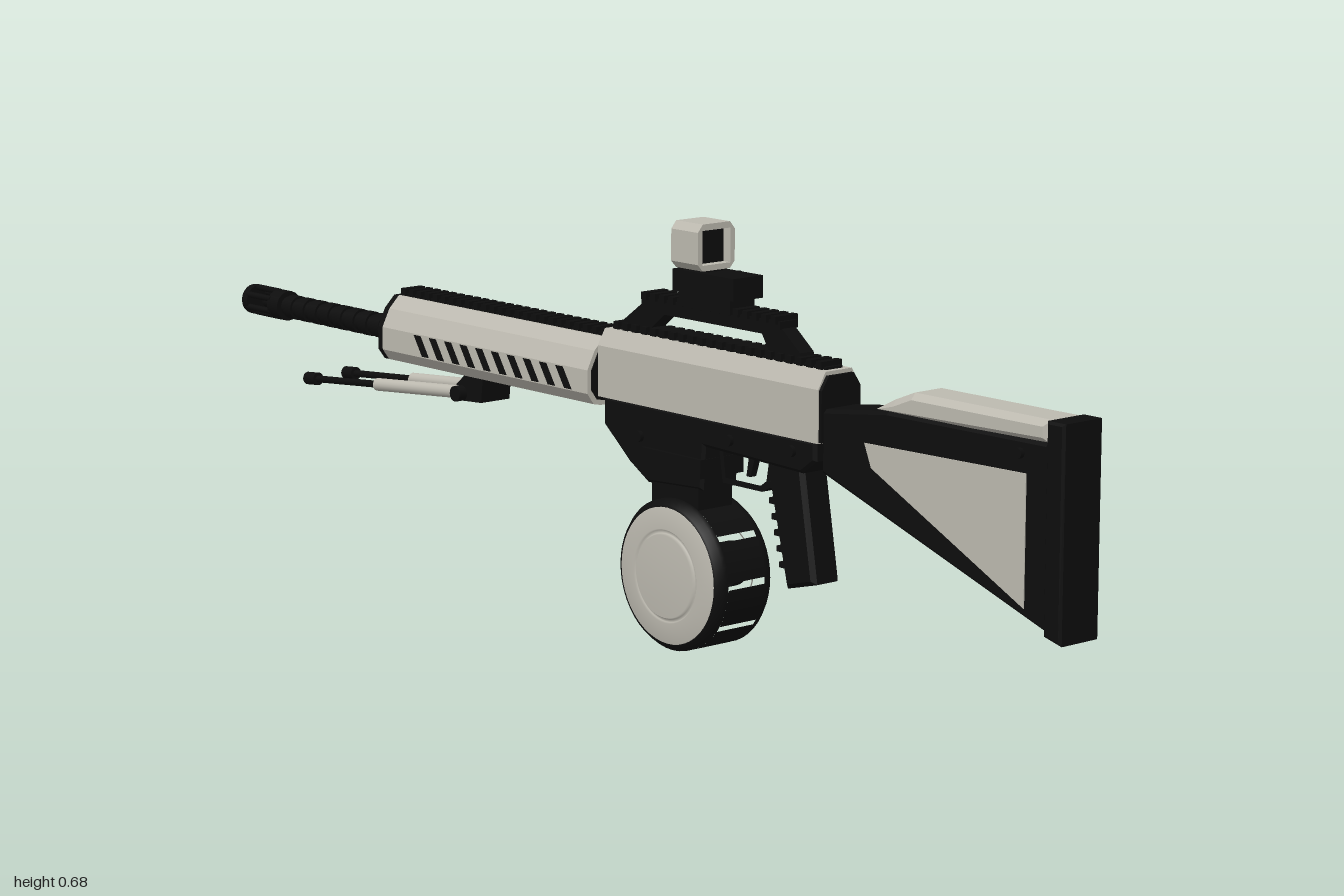
import * as THREE from 'three';

const CX = -0.0155; // centre plane of the body

export function createModel() {
  const root = new THREE.Group();
  const light = new THREE.MeshStandardMaterial({ color: 0xbdbab0 });
  light.name = 'warm grey';
  const black = new THREE.MeshStandardMaterial({ color: 0x0d0d0d });
  black.name = 'black';

  const add = (name, geo, mat, parent = root) => {
    const m = new THREE.Mesh(geo, mat);
    m.name = name;
    parent.add(m);
    return m;
  };
  const group = (name) => {
    const g = new THREE.Group();
    g.name = name;
    root.add(g);
    return g;
  };
  const shapeOf = (pts) => new THREE.Shape(pts.map(([a, b]) => new THREE.Vector2(a, b)));

  // Side profile of [z, y] points, given a width across x
  const side = (name, pts, width, mat, { x = CX, bevel = 0, hole = null, parent = root } = {}) => {
    const s = shapeOf(pts);
    if (hole) s.holes.push(shapeOf(hole));
    const g = new THREE.ExtrudeGeometry(s, {
      depth: width - 2 * bevel, bevelEnabled: bevel > 0, bevelSize: bevel,
      bevelThickness: bevel, bevelOffset: -bevel, bevelSegments: 1,
    });
    g.translate(0, 0, bevel - width / 2).rotateY(-Math.PI / 2).translate(x, 0, 0);
    return add(name, g, mat, parent);
  };
  // Cross-section of [x, y] half points mirrored about the centre plane, run from z0 to z1
  const mirrored = (half) => [...half, ...half.map(([x, y]) => [-x, y]).reverse()];
  const along = (name, half, z0, z1, mat, hole = null, parent = root) => {
    const s = shapeOf(mirrored(half));
    if (hole) s.holes.push(shapeOf(mirrored(hole)));
    const g = new THREE.ExtrudeGeometry(s, { depth: z1 - z0, bevelEnabled: false });
    return add(name, g.translate(CX, 0, z0), mat, parent);
  };
  const box = (name, w, h, d, x, y, z, mat, parent = root) =>
    add(name, new THREE.BoxGeometry(w, h, d).translate(x, y, z), mat, parent);
  // Cylinder between two points
  const rod = (name, a, b, r, mat, parent = root, seg = 16) => {
    const p = new THREE.Vector3(...a), q = new THREE.Vector3(...b);
    const m = add(name, new THREE.CylinderGeometry(r, r, p.distanceTo(q), seg), mat, parent);
    m.position.copy(p).add(q).multiplyScalar(0.5);
    m.quaternion.setFromUnitVectors(new THREE.Vector3(0, 1, 0), q.sub(p).normalize());
    return m;
  };

  // Stock
  const stock = group('stock');
  side('stockBody', [[0.985, 0.17], [0.985, 0.475], [0.96, 0.452], [0.64, 0.45], [0.5, 0.432], [0.5, 0.335]],
    0.072, black, { bevel: 0.006, parent: stock });
  side('buttPlate', [[1, 0.163], [1, 0.484], [0.965, 0.484], [0.965, 0.172]], 0.081, black, { bevel: 0.004, parent: stock });
  side('stockPanel', [[0.925, 0.205], [0.925, 0.402], [0.595, 0.396], [0.61, 0.36]], 0.075, light, { parent: stock });
  side('cheekRest', [[0.965, 0.448], [0.965, 0.484], [0.69, 0.484], [0.65, 0.468], [0.61, 0.448]],
    0.074, light, { bevel: 0.01, parent: stock });
  rod('stockPin', [CX - 0.043, 0.43, 0.912], [CX + 0.043, 0.43, 0.912], 0.008, black, stock);

  // Receiver
  const receiver = group('receiver');
  along('receiverShell', [[0.042, 0.38], [0.042, 0.462], [0.027, 0.488]], -0.008, 0.5, light, null, receiver);
  along('rearCap', [[0.04, 0.382], [0.04, 0.461], [0.026, 0.482]], 0.5, 0.506, black, null, receiver);
  side('lowerReceiver', [[0.49, 0.381], [0.49, 0.35], [0.46, 0.328], [0.24, 0.335], [0.235, 0.265],
    [0.105, 0.258], [0.06, 0.285], [0.0, 0.335], [0.0, 0.381]], 0.076, black, { bevel: 0.005, parent: receiver });
  box('magazineCollar', 0.09, 0.03, 0.14, CX, 0.3, 0.17, black, receiver);
  box('portFrame', 0.004, 0.046, 0.1, 0.0265, 0.432, 0.152, black, receiver);
  box('bolt', 0.004, 0.034, 0.088, 0.0275, 0.432, 0.15, light, receiver);
  rod('selectorPin', [0.02, 0.443, 0.447], [0.041, 0.443, 0.447], 0.012, black, receiver);
  for (const [y, z] of [[0.36, 0.44], [0.355, 0.3], [0.33, 0.09]])
    rod('receiverPin', [CX - 0.045, y, z], [CX + 0.045, y, z], 0.009, black, receiver);

  // Pistol grip with finger grooves, trigger and guard
  const grip = group('grip');
  side('gripBody', [[0.45, 0.335], [0.37, 0.335], [0.378, 0.29], [0.415, 0.14], [0.48, 0.157]],
    0.056, black, { bevel: 0.007, parent: grip });
  for (let i = 0; i < 6; i++)
    box('gripRib', 0.046, 0.009, 0.02, CX, 0.295 - i * 0.024, 0.377 + i * 0.006, black, grip).rotation.x = 0;
  side('triggerGuard', [[0.375, 0.34], [0.365, 0.288], [0.345, 0.278], [0.255, 0.278], [0.245, 0.34]], 0.024, black,
    { hole: [[0.362, 0.335], [0.355, 0.296], [0.342, 0.287], [0.262, 0.287], [0.255, 0.335]], parent: grip });
  side('trigger', [[0.325, 0.335], [0.31, 0.335], [0.303, 0.295], [0.312, 0.295]], 0.012, black, { parent: grip });

  // Drum magazine with a slotted rim
  const drum = group('drumMagazine');
  drum.position.set(CX + 0.003, 0.122, 0.174);
  const R = 0.121;
  const turned = (name, pts, mat) =>
    add(name, new THREE.LatheGeometry(pts.map(([r, x]) => new THREE.Vector2(r, x)), 48).rotateZ(-Math.PI / 2), mat, drum);
  for (const s of [1, -1]) {
    const edge = [[R, 0.038], [R, 0.047], [0.113, 0.057], [0.106, 0.058]];
    const face = [[0.111, 0.055], [0.108, 0.059], [0.075, 0.063], [0.073, 0.06], [0.068, 0.06], [0.066, 0.065], [0, 0.065]];
    const at = (pts) => {
      const p = pts.map(([r, x]) => [r, s * x]);
      return s > 0 ? p : p.reverse();
    };
    turned('drumEdge', at(edge), black);
    turned('drumFace', at(face), light);
  }
  const step = Math.PI / 5, gap = 0.09;
  for (let i = 0; i < 10; i++)
    add('rimSegment', new THREE.CylinderGeometry(R, R, 0.076, 6, 1, true, i * step + gap / 2, step - gap)
      .rotateZ(-Math.PI / 2), black, drum);
  rod('windingHub', [0.06, 0, 0], [0.08, 0, 0], 0.036, black, drum, 24);
  box('windingKey', 0.012, 0.026, 0.11, 0.084, 0, 0, black, drum);
  box('drumNeck', 0.07, 0.07, 0.11, CX, 0.26, 0.17, black);

  // Handguard: faceted tube with slanted vents
  const guard = group('handguard');
  const outer = [[0.03, 0.363], [0.044, 0.366], [0.057, 0.384], [0.057, 0.422], [0.042, 0.452], [0.022, 0.472]];
  const inner = outer.map(([x, y]) => [x * 0.86, 0.418 + (y - 0.418) * 0.86]);
  along('guardShell', outer, -0.55, -0.016, light, inner, guard);
  along('guardFrontRim', outer, -0.562, -0.55, black, inner, guard);
  along('guardCore', inner, -0.53, -0.014, black, null, guard);
  for (let i = 0; i < 10; i++) {
    const z = -0.055 - i * 0.041;
    side('vent', [[z, 0.386], [z - 0.018, 0.386], [z - 0.04, 0.42], [z - 0.022, 0.42]], 0.1155, black, { parent: guard });
  }

  // Toothed rails
  const rail = (name, y, z0, z1, w) => {
    const g = group(name);
    box('railBase', w * 0.8, 0.012, z1 - z0, CX, y - 0.012, (z0 + z1) / 2, black, g);
    const n = Math.round((z1 - z0) / 0.022);
    for (let i = 0; i < n; i++)
      box('railTooth', w, 0.012, 0.012, CX, y - 0.004, z0 + ((i + 0.5) * (z1 - z0)) / n, black, g);
  };
  rail('guardRail', 0.483, -0.55, -0.01, 0.042);
  rail('receiverRail', 0.498, 0, 0.49, 0.042);
  rail('handleRail', 0.554, 0.07, 0.39, 0.046);

  // Carry handle
  side('carryHandle', [[0.435, 0.488], [0.43, 0.505], [0.38, 0.545], [0.08, 0.545], [0.0, 0.488]], 0.028, black,
    { hole: [[0.36, 0.5], [0.345, 0.524], [0.12, 0.524], [0.09, 0.5]] });

  // Sight: mount, knob and hood
  const sight = group('sight');
  box('sightClamp', 0.05, 0.025, 0.12, CX, 0.558, 0.225, black, sight);
  box('sightBase', 0.061, 0.035, 0.14, CX, 0.586, 0.228, black, sight);
  box('sightNeck', 0.03, 0.012, 0.06, CX, 0.604, 0.194, black, sight);
  rod('sightKnob', [0.01, 0.59, 0.23], [0.03, 0.59, 0.23], 0.011, black, sight);
  along('sightHood', [[0.028, 0.606], [0.038, 0.617], [0.038, 0.667], [0.028, 0.679]], 0.163, 0.225, light,
    [[0.029, 0.615], [0.029, 0.669]], sight);
  box('sightLens', 0.058, 0.054, 0.03, CX, 0.642, 0.194, black, sight);

  // Barrel with ribs and a ported muzzle
  const barrel = group('barrel');
  const by = 0.408;
  rod('barrelTube', [CX, by, -0.5], [CX, by, -0.93], 0.017, black, barrel, 20);
  for (let i = 0; i < 9; i++)
    rod('barrelRib', [CX, by, -0.575 - i * 0.036], [CX, by, -0.597 - i * 0.036], 0.021, black, barrel, 20);
  for (const [a, b] of [[-0.895, -0.925], [-0.985, -1]])
    rod('muzzleRing', [CX, by, a], [CX, by, b], 0.026, black, barrel, 20);
  for (let i = 0; i < 6; i++) {
    const t = (i * Math.PI) / 3 + Math.PI / 6;
    const x = CX + 0.022 * Math.cos(t), y = by + 0.022 * Math.sin(t);
    rod('muzzleBar', [x, y, -0.92], [x, y, -0.99], 0.0055, black, barrel, 8);
  }
  rod('muzzleCore', [CX, by, -0.92], [CX, by, -0.96], 0.01, black, barrel);

  // Folded bipod
  const bipod = group('bipod');
  side('bipodMount', [[-0.315, 0.365], [-0.32, 0.322], [-0.385, 0.318], [-0.385, 0.345], [-0.36, 0.365]], 0.06, black, { parent: bipod });
  rod('bipodPivot', [CX - 0.046, 0.332, -0.37], [CX + 0.046, 0.332, -0.37], 0.013, black, bipod);
  for (const s of [-1, 1]) {
    const at = (t) => [CX + s * (0.034 + 0.007 * t), 0.334 - 0.034 * t, -0.37 - 0.415 * t];
    rod('bipodLeg', at(0.02), at(0.53), 0.011, light, bipod);
    rod('bipodExtension', at(0.53), at(0.95), 0.006, black, bipod);
    rod('bipodFoot', at(0.93), at(1), 0.011, black, bipod);
  }
  return root;
}
